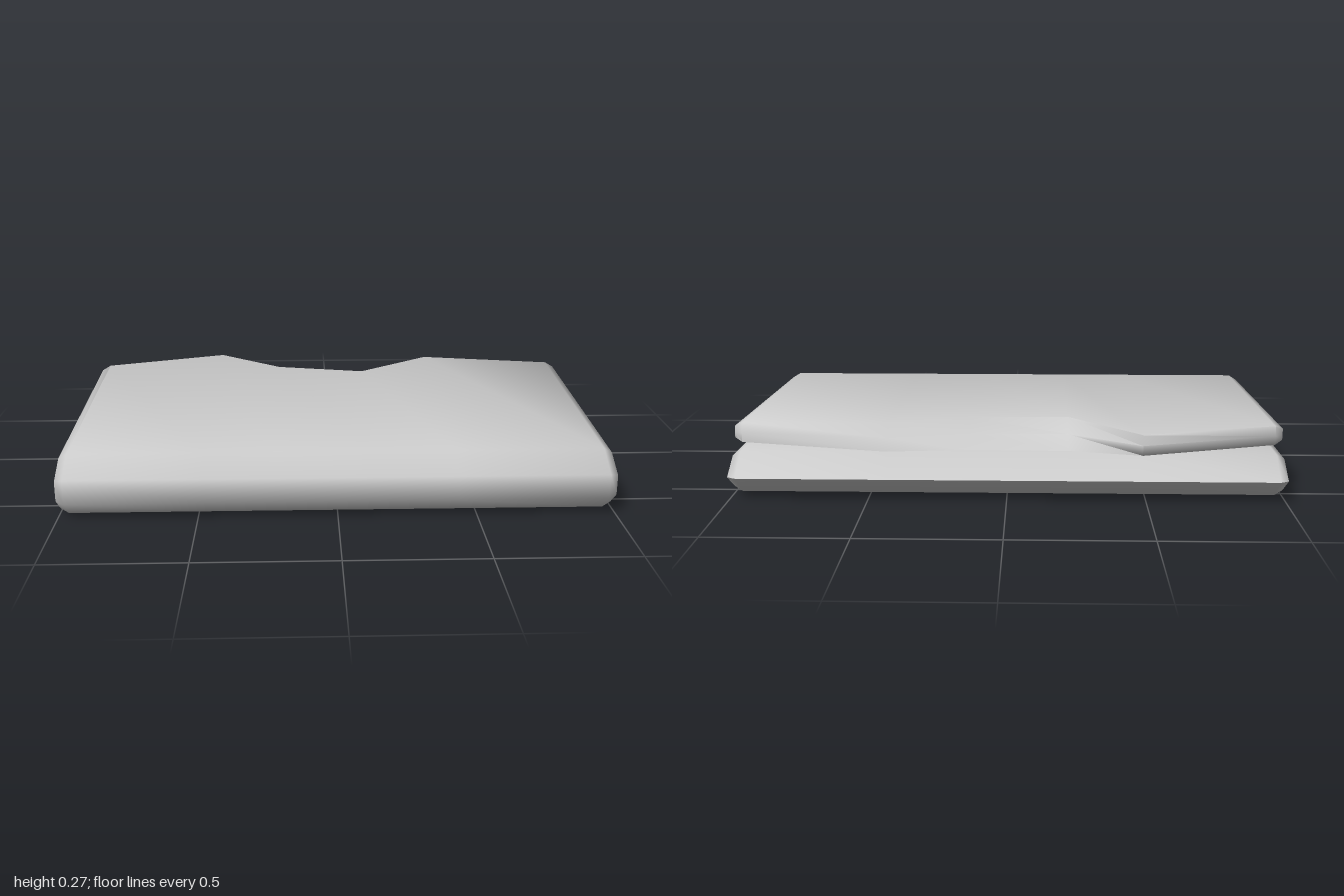
import * as THREE from 'three';
import { toCreasedNormals } from 'three/addons/utils/BufferGeometryUtils.js';

// Free edge of the top flap: x, z of upper edge, y of upper edge, z of lower edge
const FLAP = [
  [-1, -0.49, 0.255, -0.49],
  [-0.48, -0.65, 0.26, -0.65],
  [-0.22, -0.42, 0.265, -0.595],
  [0.14, -0.385, 0.252, -0.59],
  [0.43, -0.55, 0.27, -0.62],
  [1, -0.49, 0.255, -0.50],
];

function flapAt(x) {
  let i = 0;
  while (i < FLAP.length - 2 && x > FLAP[i + 1][0]) i++;
  const a = FLAP[i], b = FLAP[i + 1];
  const t = (x - a[0]) / (b[0] - a[0]);
  return a.map((v, k) => v + (b[k] - v) * t);
}

// Closed outline (z, y) of the cloth folded in three, at a given x
function outline(x) {
  const [, uz, uy, lz] = flapAt(x);
  const pts = [
    // underside of the flap and inside of the front fold
    [lz, 0.185], [0.52, 0.145], [0.59, 0.122], [0.595, 0.085], [0.56, 0.07],
    // inside of the back fold
    [-0.54, 0.065], [-0.61, 0.09], [-0.54, 0.102],
    // tucked middle layer
    [0.55, 0.09], [0.575, 0.112], [0.55, 0.135], [-0.54, 0.16],
    // outside of the back fold, base and front fold
    [-0.645, 0.088], [-0.54, 0.008], [0.57, 0], [0.65, 0.065], [0.65, 0.155], [0.54, 0.215],
    // top of the flap and its end
    [uz, uy], [(uz + lz) / 2 - 0.008, (uy + 0.185) / 2],
  ].map(([z, y]) => new THREE.Vector2(z, y));
  return THREE.ShapeUtils.area(pts) < 0 ? pts.reverse() : pts;
}

// Move every corner of an outline inwards
function inset(pts, d) {
  const n = pts.length;
  return pts.map((p, i) => {
    const e1 = p.clone().sub(pts[(i + n - 1) % n]).normalize();
    const e2 = pts[(i + 1) % n].clone().sub(p).normalize();
    const dir = e1.add(e2).normalize();
    return new THREE.Vector2(p.x - dir.y * d, p.y + dir.x * d);
  });
}

function foldedCloth() {
  const xs = [-1, -0.97, -0.48, -0.22, 0.14, 0.43, 0.97, 1];
  const rings = xs.map((x) => (Math.abs(x) === 1 ? inset(outline(x), 0.018) : outline(x)));
  const n = rings[0].length;
  const pos = [], index = [];
  rings.forEach((ring, i) => ring.forEach((p) => pos.push(xs[i], p.y, p.x)));

  // skin between neighbouring outlines
  for (let i = 0; i < xs.length - 1; i++) {
    for (let j = 0; j < n; j++) {
      const k = (j + 1) % n;
      const a = i * n + j, b = i * n + k, c = a + n, d = b + n;
      index.push(a, c, b, b, c, d);
    }
  }
  // side caps
  const last = (xs.length - 1) * n;
  for (const [a, b, c] of THREE.ShapeUtils.triangulateShape(rings[0], [])) index.push(a, b, c);
  for (const [a, b, c] of THREE.ShapeUtils.triangulateShape(rings[xs.length - 1], [])) {
    index.push(last + a, last + c, last + b);
  }

  const geo = new THREE.BufferGeometry();
  geo.setAttribute('position', new THREE.Float32BufferAttribute(pos, 3));
  geo.setIndex(index);
  return toCreasedNormals(geo, 1.4);
}

export function createModel() {
  const group = new THREE.Group();
  group.name = 'foldedTowel';
  const cloth = new THREE.Mesh(foldedCloth(), new THREE.MeshStandardMaterial({ color: 0xcccccc }));
  cloth.name = 'foldedCloth';
  group.add(cloth);
  return group;
}
